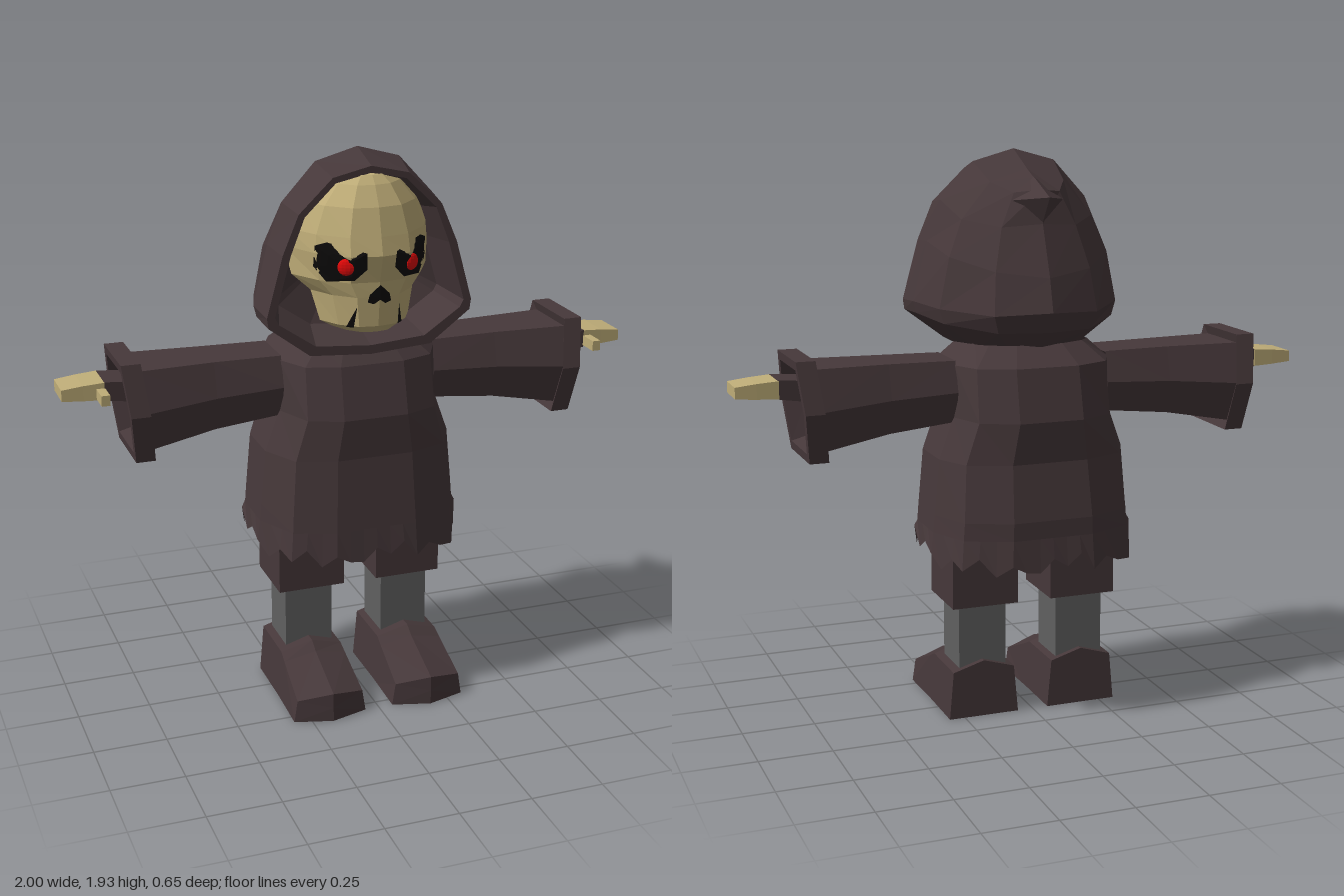
import * as THREE from 'three';

const mat = (name, color) => new THREE.MeshStandardMaterial({ name, color, flatShading: true, side: THREE.DoubleSide });

// Skin closed rings of [x, y, z] points; skip(i, j) leaves a quad open, s = -1 mirrors in x
function loft(rows, s = 1, skip = () => false) {
  const pos = [], n = rows[0].length;
  const tri = (a, b, c) => {
    const v = (s > 0 ? [a, b, c] : [a, c, b]).map(p => new THREE.Vector3(p[0] * s, p[1], p[2]));
    const area = v[1].clone().sub(v[0]).cross(v[2].clone().sub(v[0])).length();
    if (area > 1e-7) v.forEach(p => pos.push(p.x, p.y, p.z));
  };
  for (let i = 0; i < rows.length - 1; i++) for (let j = 0; j < n; j++) {
    if (skip(i, j)) continue;
    const k = (j + 1) % n, [a, b, c, d] = [rows[i][j], rows[i][k], rows[i + 1][k], rows[i + 1][j]];
    tri(a, d, c);
    tri(a, c, b);
  }
  const g = new THREE.BufferGeometry();
  g.setAttribute('position', new THREE.Float32BufferAttribute(pos, 3));
  g.computeVertexNormals();
  return g;
}

// Complete a half ring (first and last point on x = 0)
const mirrorRing = half => half.concat(half.slice(1, -1).reverse().map(([x, y, z]) => [-x, y, z]));

// Skull rows: y, half width, front z, edge z
const SKULL = [
  [1.87, 0.03, 0.17, 0.14], [1.862, 0.09, 0.20, 0.12], [1.835, 0.14, 0.225, 0.1], [1.77, 0.205, 0.262, 0.08],
  [1.68, 0.245, 0.285, 0.06], [1.62, 0.252, 0.3, 0.05], [1.53, 0.235, 0.275, 0.08],
  [1.48, 0.18, 0.272, 0.11], [1.38, 0.155, 0.262, 0.13], [1.355, 0.11, 0.24, 0.13],
];
const STEPS = [[0, 1], [0.4, 0.92], [0.75, 0.55], [1, 0]];
function skullZ(x, y) {
  let i = 0;
  while (i < SKULL.length - 2 && y < SKULL[i + 1][0]) i++;
  const f = (SKULL[i][0] - y) / (SKULL[i][0] - SKULL[i + 1][0]);
  const [, w, zf, ze] = SKULL[i].map((v, k) => v + (SKULL[i + 1][k] - v) * f);
  const t = Math.min(Math.abs(x) / w, 1);
  const k = t < 0.4 ? 0 : t < 0.75 ? 1 : 2, [a, b] = [STEPS[k], STEPS[k + 1]];
  return ze + (zf - ze) * (a[1] + (b[1] - a[1]) * (t - a[0]) / (b[0] - a[0]));
}

// Thin patch that follows the skull surface
function patch(outline, s = 1) {
  const n = outline.length;
  const cx = outline.reduce((a, p) => a + p[0], 0) / n, cy = outline.reduce((a, p) => a + p[1], 0) / n;
  return loft([0, 0.25, 0.5, 0.75, 1].map(f => outline.map(([px, py]) => {
    const x = cx + (px - cx) * f, y = cy + (py - cy) * f;
    return [x, y, skullZ(x, y) + 0.006];
  })), s);
}

export function createModel() {
  const root = new THREE.Group();
  root.name = 'hoodedSkeleton';
  const cloth = mat('darkCloth', 0x46383a), bone = mat('bone', 0xbfad78), grey = mat('greyLeg', 0x606060);
  const black = mat('socketBlack', 0x0b0909), red = mat('eyeRed', 0xe00808);
  const add = (name, geo, material) => {
    const m = new THREE.Mesh(geo, material);
    m.name = name;
    root.add(m);
    return m;
  };
  const box = (x0, x1, y0, y1, z0, z1) =>
    new THREE.BoxGeometry(x1 - x0, y1 - y0, z1 - z0).translate((x0 + x1) / 2, (y0 + y1) / 2, (z0 + z1) / 2);

  // Robe: y, half width, front z, back z; sides stay open where the sleeves join
  const robeRows = [
    [1.3, 0.2, 0.16, -0.19], [1.235, 0.275, 0.21, -0.265], [1.06, 0.28, 0.25, -0.305],
    [0.92, 0.33, 0.242, -0.29], [0.73, 0.348, 0.255, -0.32], [0.67, 0.353, 0.26, -0.32],
  ].map(([y, w, f, b]) => mirrorRing([
    [0, y, f], [w * 0.4, y, f], [w * 0.8, y, f * 0.82], [w, y, 0.065],
    [w, y, -0.115], [w * 0.83, y, b * 0.8], [w * 0.4, y, b], [0, y, b]]));
  add('robe', loft(robeRows, 1, (i, j) => i === 1 && (j === 3 || j === 10)), cloth);

  // Ragged hem: the last robe ring split finer, with uneven teeth
  const last = robeRows.at(-1), hemTop = [], hemBottom = [];
  const teeth = [0.555, 0.6, 0.57, 0.61, 0.55, 0.585, 0.56];
  last.forEach((p, j) => {
    const q = last[(j + 1) % last.length];
    for (let k = 0; k < 3; k++) {
      const [x, y, z] = p.map((v, c) => v + (q[c] - v) * k / 3);
      hemTop.push([x, y, z]);
      const raise = Math.abs(x) > 0.3 && z > -0.15 && z < 0.1 ? 0.04 : 0;
      hemBottom.push([x * 1.03, teeth[hemTop.length % 7] + raise, z * 1.03]);
    }
  });
  add('raggedHem', loft([hemTop, hemBottom]), cloth);

  // Hood: half rings from the back seam to the opening, then the lining
  const hood = [
    [[0, 1.83, -0.16], [0, 1.81, -0.2], [0, 1.7, -0.215], [0, 1.53, -0.28], [0, 1.42, -0.31], [0, 1.35, -0.27], [0, 1.285, -0.19], [0, 1.28, -0.1]],
    [[0, 1.845, -0.13], [0.08, 1.8, -0.16], [0.13, 1.69, -0.18], [0.165, 1.55, -0.22], [0.18, 1.41, -0.25], [0.16, 1.35, -0.23], [0.1, 1.285, -0.16], [0, 1.275, -0.07]],
    [[0, 1.87, -0.07], [0.13, 1.83, -0.07], [0.23, 1.71, -0.07], [0.28, 1.59, -0.09], [0.315, 1.42, -0.09], [0.3, 1.37, -0.09], [0.18, 1.28, -0.08], [0, 1.27, -0.03]],
    [[0, 1.93], [0.145, 1.89], [0.26, 1.765], [0.31, 1.63], [0.36, 1.43], [0.35, 1.39], [0.21, 1.28], [0, 1.27]].map(p => [...p, 0.06]),
    [[0, 1.89], [0.13, 1.86], [0.245, 1.75], [0.3, 1.62], [0.355, 1.42], [0.35, 1.385], [0.21, 1.28], [0, 1.265]].map(p => [...p, 0.193]),
  ];
  const rim = [[0, 1.868], [0.12, 1.842], [0.225, 1.74], [0.272, 1.62], [0.328, 1.42], [0.315, 1.395], [0.19, 1.31], [0, 1.295]];
  for (const [k, z] of [[1, 0.193], [0.87, 0.06], [0, -0.05]])
    hood.push(rim.map(([x, y]) => [x * k, 1.6 + (y - 1.6) * k, z]));
  add('hood', loft(hood.map(mirrorRing)), cloth);
  const tip = [0, 1.79, -0.275];
  add('hoodTip', loft([
    [[0, 1.848, -0.13], [-0.09, 1.775, -0.165], [0, 1.7, -0.21], [0.09, 1.775, -0.165]],
    [tip, tip, tip, tip]]), cloth);

  // Skull face
  const face = SKULL.map(([y, w, zf, ze]) => {
    const half = STEPS.map(([t, p]) => [w * t, y, ze + (zf - ze) * p]);
    return mirrorRing([...half, [0, y, Math.min(ze, 0.1) - 0.03]]);
  });
  const chin = face.at(-1).map(() => [0, 1.37, 0.16]);
  add('skull', loft([...face, chin]), bone);
  add('noseHole', patch([[0, 1.522], [-0.034, 1.49], [-0.04, 1.465], [-0.02, 1.458], [0, 1.472],
    [0.02, 1.458], [0.04, 1.465], [0.034, 1.49]]), black);

  for (const s of [1, -1]) {
    const side = s > 0 ? 'left' : 'right';
    // Eyes and jaw gaps
    add(side + 'EyeSocket', patch([[0.19, 1.645], [0.16, 1.66], [0.05, 1.632], [0.047, 1.578],
      [0.085, 1.54], [0.16, 1.53], [0.192, 1.575]], s), black);
    const eye = add(side + 'Eye', new THREE.SphereGeometry(0.028, 12, 8), red);
    eye.scale.z = 0.4;
    eye.position.set(0.112 * s, 1.586, skullZ(0.112, 1.586) + 0.006);
    eye.rotation.y = 0.45 * s;
    add(side + 'JawGap', patch([[0.072, 1.45], [0.076, 1.375], [0.096, 1.375]], s), black);

    // Sleeve: x, middle y, half height, half depth, slant; out along the cuff and back as lining
    const sleeve = [
      [0.27, 1.147, 0.103, 0.12, 0], [0.5, 1.137, 0.116, 0.125, 0], [0.745, 1.117, 0.137, 0.147, 0.11],
      [0.733, 1.117, 0.168, 0.17, 0.11], [0.798, 1.117, 0.168, 0.17, 0.11], [0.798, 1.117, 0.138, 0.142, 0.11],
      [0.72, 1.12, 0.118, 0.13, 0.11], [0.27, 1.147, 0.1, 0.117, 0],
    ].map(([x, y, h, d, k]) =>
      [[1, 0.75], [1, -0.75], [0, -1], [-1, -0.75], [-1, 0.75], [0, 1]].map(([u, v]) =>
        [x + u * h * k, y + u * h, -0.025 + v * d]));
    add(side + 'Sleeve', loft(sleeve, s), cloth);

    // Wrist, palm and thumb
    const slab = rows => {
      const r = rows.map(([x, y0, y1, z0, z1]) => [[x, y1, z1], [x, y1, z0], [x, y0, z0], [x, y0, z1]]);
      const cap = q => q.map(() => [0, 1, 2].map(c => (q[0][c] + q[2][c]) / 2));
      return loft([cap(r[0]), ...r, cap(r.at(-1))], s);
    };
    add(side + 'Wrist', slab([[0.76, 1.14, 1.21, -0.085, 0.045], [0.86, 1.155, 1.217, -0.085, 0.045]]), cloth);
    add(side + 'Hand', slab([[0.858, 1.157, 1.216, -0.09, 0.045], [0.93, 1.16, 1.211, -0.088, 0.042],
      [1, 1.165, 1.203, -0.085, 0.04]]), bone);
    add(side + 'Thumb', slab([[0.858, 1.162, 1.197, 0.04, 0.12], [0.887, 1.162, 1.197, 0.04, 0.12]]), bone);

    // Trouser leg and shin
    const x = (a, b) => s > 0 ? [a, b] : [-b, -a];
    add(side + 'TrouserLeg', box(...x(0.06, 0.295), 0.4, 0.8, -0.145, 0.093), cloth);
    add(side + 'Shin', box(...x(0.093, 0.263), 0.15, 0.41, -0.11, 0.055), grey);

    // Boot: z, half sole, half top, side height, ridge height, ridge lead
    const boot = [
      [-0.13, 0.125, 0.11, 0.167, 0.2, 0], [0.085, 0.125, 0.11, 0.167, 0.2, 0.01],
      [0.125, 0.126, 0.112, 0.148, 0.175, 0.01], [0.288, 0.13, 0.118, 0.078, 0.103, 0.037],
    ].map(([z, b, t, ys, yc, lead]) => [
      [0.18 - t, ys, z], [0.18, yc, z + lead], [0.18 + t, ys, z],
      [0.18 + b, 0, z], [0.18, 0, z + lead], [0.18 - b, 0, z]]);
    const end = z => boot[0].map(() => [0.18, 0.05, z]);
    add(side + 'Boot', loft([end(-0.13), ...boot, end(0.325)], s), cloth);
  }
  return root;
}
